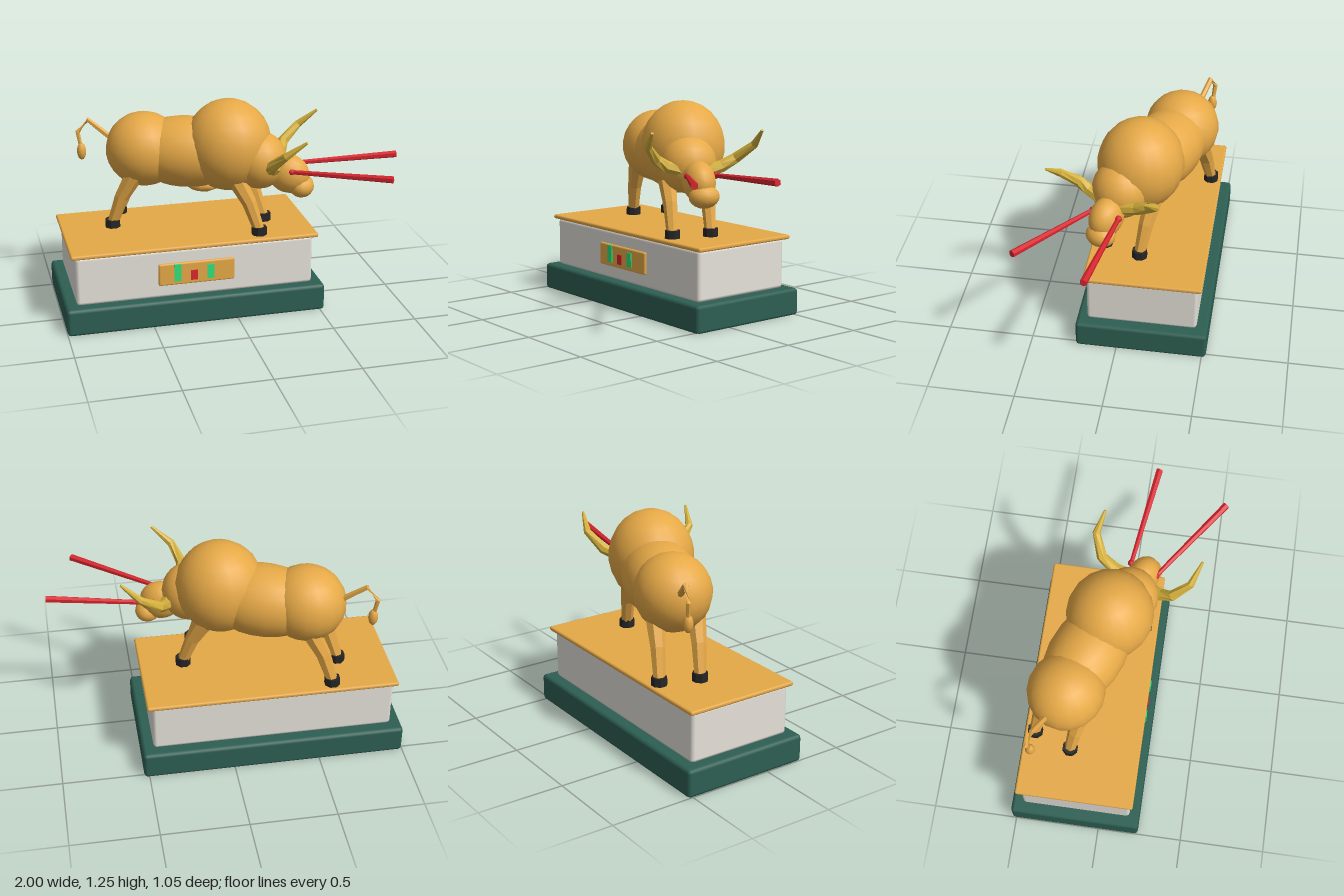
import * as THREE from 'three';
import { RoundedBoxGeometry } from 'three/addons/geometries/RoundedBoxGeometry.js';

const mat = (name, color, side = THREE.FrontSide) => {
  const m = new THREE.MeshStandardMaterial({ color, side });
  m.name = name;
  return m;
};

// Lofted limb: rings of the given radii along a bent path, closed at both ends
function limbGeometry(path, radii, sides) {
  const pts = path.map(p => new THREE.Vector3(...p));
  const pos = [], idx = [], n = pts.length;
  pts.forEach((p, i) => {
    const t = pts[Math.min(i + 1, n - 1)].clone().sub(pts[Math.max(i - 1, 0)]).normalize();
    const ref = Math.abs(t.y) > 0.85 ? new THREE.Vector3(0.92, 0, 0.39) : new THREE.Vector3(0, 1, 0);
    const u = ref.addScaledVector(t, -ref.dot(t)).normalize();
    const v = t.clone().cross(u);
    for (let j = 0; j < sides; j++) {
      const a = (j / sides) * Math.PI * 2;
      const q = p.clone().addScaledVector(u, Math.cos(a) * radii[i]).addScaledVector(v, Math.sin(a) * radii[i]);
      pos.push(q.x, q.y, q.z);
    }
  });
  pos.push(...path[0], ...path[n - 1]);
  const start = n * sides, end = start + 1, last = (n - 1) * sides;
  for (let j = 0; j < sides; j++) {
    const k = (j + 1) % sides;
    for (let i = 0; i < n - 1; i++) {
      const a = i * sides, b = a + sides;
      idx.push(a + j, a + k, b + k, a + j, b + k, b + j);
    }
    idx.push(start, k, j, end, last + j, last + k);
  }
  const g = new THREE.BufferGeometry();
  g.setAttribute('position', new THREE.Float32BufferAttribute(pos, 3));
  g.setIndex(idx);
  const flat = g.toNonIndexed();
  flat.computeVertexNormals();
  return flat;
}

// Removes the underside (fourth face group) of a rounded box, leaving a hollow shell
function openBottom(box) {
  const { start, count } = box.groups[3];
  const g = new THREE.BufferGeometry();
  for (const key of ['position', 'normal']) {
    const kept = Array.from(box.attributes[key].array);
    kept.splice(start * 3, count * 3);
    g.setAttribute(key, new THREE.Float32BufferAttribute(kept, 3));
  }
  return g;
}

export function createModel() {
  const model = new THREE.Group();
  model.name = 'bullStatue';
  const bronze = mat('bronze', 0xe6a947);
  const horn = mat('horn', 0xd4b03c);
  const green = mat('darkGreen', 0x2d5f52, THREE.DoubleSide);
  const stone = mat('stone', 0xe6e1da);
  const black = mat('hoofBlack', 0x252525);
  const red = mat('red', 0xd8262f);
  const bright = mat('brightGreen', 0x2fe27c);
  const YAW = -0.4; // the bull stands diagonally on the plinth

  const add = (name, geometry, material, parent = model) => {
    const m = new THREE.Mesh(geometry, material);
    m.name = name;
    parent.add(m);
    return m;
  };
  // Box given by its extents, with chamfered edges when r is set
  const box = (name, [x0, x1], [y0, y1], [z0, z1], r, material) => {
    const s = [x1 - x0, y1 - y0, z1 - z0];
    const g = r ? new RoundedBoxGeometry(...s, 1, r) : new THREE.BoxGeometry(...s);
    const m = add(name, g, material);
    m.position.set((x0 + x1) / 2, (y0 + y1) / 2, (z0 + z1) / 2);
    return m;
  };
  // Ellipsoid whose first radius runs along the bull
  const blob = (name, centre, radii, material = bronze, tilt = 0, seg = 18) => {
    const m = add(name, new THREE.SphereGeometry(1, seg, Math.round(seg * 0.7)), material);
    m.scale.set(...radii);
    m.position.set(...centre);
    m.rotation.set(0, YAW, tilt);
  };
  const limb = (name, path, radii, sides, material) =>
    add(name, limbGeometry(path, radii, sides), material);

  // Plinth: a hollow foot, stone body and gold top
  const foot = box('plinthFoot', [-1, 0.53], [0, 0.162], [-0.525, 0.24], 0.02, green);
  foot.geometry = openBottom(foot.geometry);
  box('plinthBody', [-0.935, 0.465], [0.16, 0.455], [-0.46, 0.18], 0.02, stone);
  box('plinthTop', [-0.96, 0.495], [0.452, 0.478], [-0.485, 0.2], 0.011, bronze);

  // Plaque with three chart bars
  box('plaque', [-0.46, -0.01], [0.24, 0.375], [0.172, 0.196], 0.01, bronze);
  [[-0.35, 0.37, bright], [-0.253, 0.325, red], [-0.155, 0.352, bright]].forEach(([x, top, m], i) =>
    box('plaqueBar' + (i + 1), [x - 0.02, x + 0.02], [0.266, top], [0.194, 0.203], 0, m));

  // Body and head
  blob('rump', [-0.45, 0.935, -0.245], [0.225, 0.22, 0.218]);
  blob('barrel', [-0.215, 0.925, -0.165], [0.34, 0.21, 0.213]);
  blob('belly', [-0.13, 0.73, -0.11], [0.1, 0.04, 0.06], bronze, 0, 8);
  blob('shoulder', [0.017, 0.98, -0.067], [0.255, 0.271, 0.247]);
  blob('neck', [0.178, 0.902, 0.025], [0.16, 0.168, 0.165]);
  blob('head', [0.34, 0.822, 0.078], [0.125, 0.114, 0.093], bronze, -0.4, 16);
  blob('muzzle', [0.413, 0.748, 0.1], [0.074, 0.067, 0.088], bronze, 0, 14);

  // Horns
  const hornRadii = [0.037, 0.036, 0.032, 0.023, 0.008];
  limb('leftHorn', [[0.31, 0.87, 0], [0.335, 0.895, -0.09], [0.375, 0.94, -0.165],
    [0.48, 1.025, -0.212], [0.585, 1.115, -0.175]], hornRadii, 7, horn);
  limb('rightHorn', [[0.26, 0.87, 0.1], [0.205, 0.9, 0.2], [0.19, 0.945, 0.265],
    [0.24, 1.025, 0.36], [0.345, 1.115, 0.41]], hornRadii, 7, horn);

  // Red eyes, each with a long beam
  [['left', [0.395, 0.857, 0.002], [0.996, 0.891, 0.088]],
    ['right', [0.335, 0.857, 0.155], [0.822, 0.891, 0.505]]].forEach(([side, a, b]) => {
    blob(side + 'Eye', a, [0.02, 0.02, 0.02], red, 0, 10);
    limb(side + 'Beam', [a, b], [0.013, 0.021], 6, red);
  });

  // Legs: hoof x and z, and lean towards the middle of the body (along the bull)
  [['frontRight', 0.155, 0.12, -1], ['frontLeft', 0.238, -0.095, -1],
    ['rearRight', -0.655, -0.207, 1], ['rearLeft', -0.577, -0.423, 1]].forEach(([name, x, z, s]) => {
    limb(name + 'Leg', [[x, 0.5, z], [x + s * 0.054, 0.67, z + s * 0.028],
      [x + s * 0.15, 0.86, z + s * 0.07]], [0.033, 0.043, 0.06], 7, bronze);
    const hoof = add(name + 'Hoof', new THREE.CylinderGeometry(0.044, 0.046, 0.05, 8).toNonIndexed(), black);
    hoof.geometry.computeVertexNormals();
    hoof.position.set(x, 0.5, z);
    hoof.rotation.y = YAW;
  });

  // Tail and tuft
  limb('tail', [[-0.63, 0.99, -0.325], [-0.755, 1.092, -0.38], [-0.815, 1.015, -0.405],
    [-0.8, 0.92, -0.395]], [0.018, 0.016, 0.014, 0.011], 6, bronze);
  blob('tailTuft', [-0.798, 0.897, -0.393], [0.028, 0.052, 0.028], bronze, 0, 10);

  return model;
}
